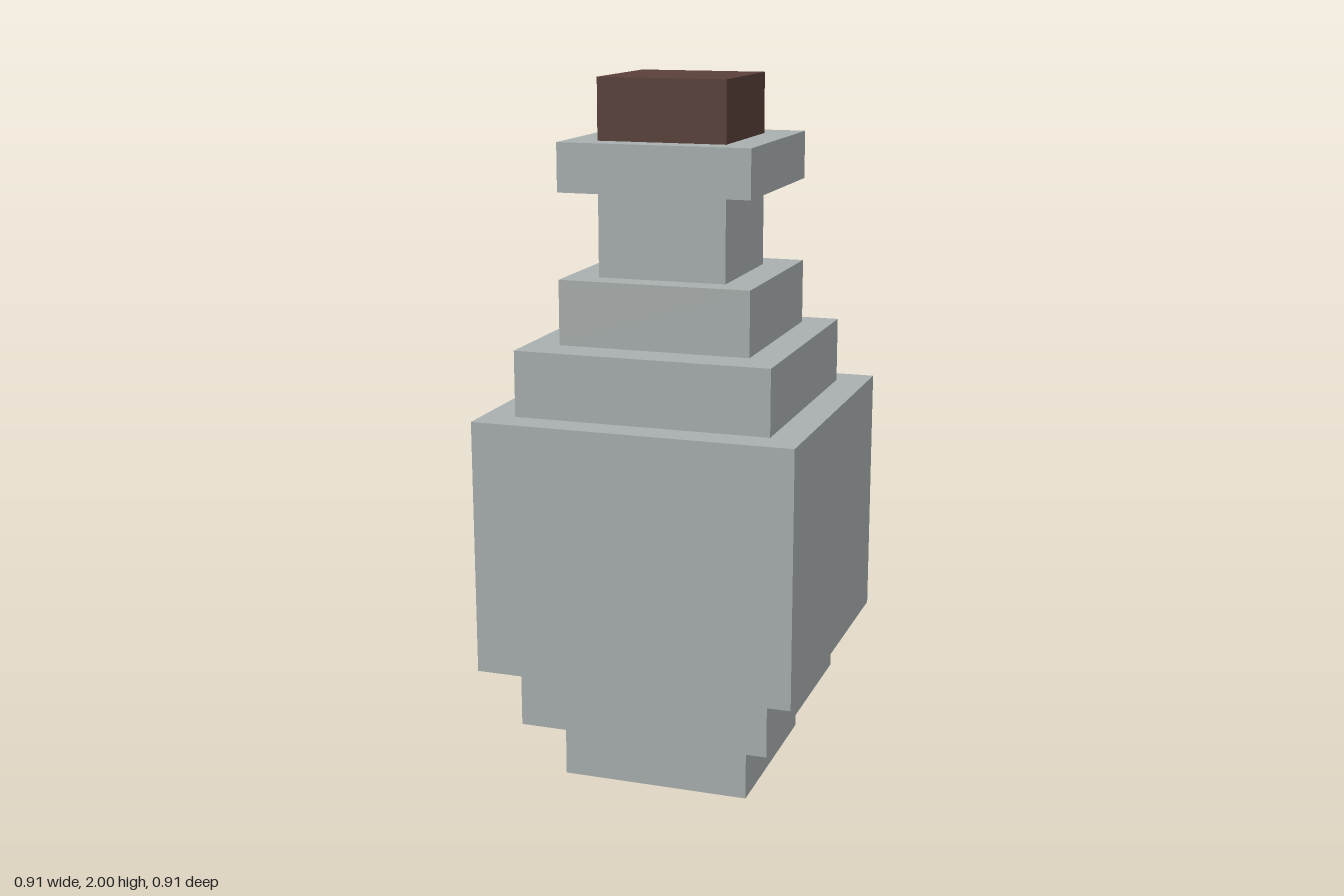
import * as THREE from 'three';

export function createModel() {
  const glass = new THREE.MeshStandardMaterial({ color: 0xa9b0af });
  glass.name = 'grey glass';
  const cork = new THREE.MeshStandardMaterial({ color: 0x5a4039 });
  cork.name = 'brown cork';

  const bottle = new THREE.Group();
  bottle.name = 'bottle';

  // Stacked blocks: name, width, depth, bottom, top, z offset, material
  const blocks = [
    ['base', 0.545, 0.545, 0, 0.185, -0.018, glass],
    ['lowerBody', 0.725, 0.725, 0.185, 0.37, 0, glass],
    ['body', 0.907, 0.907, 0.37, 1.09, 0, glass],
    ['lowerShoulder', 0.725, 0.725, 1.09, 1.275, 0, glass],
    ['upperShoulder', 0.545, 0.545, 1.275, 1.457, -0.018, glass],
    ['neck', 0.364, 0.364, 1.457, 1.695, 0, glass],
    ['lip', 0.545, 0.545, 1.695, 1.83, -0.018, glass],
    ['stopper', 0.364, 0.364, 1.83, 2, 0, cork],
  ];
  for (const [name, width, depth, bottom, top, z, material] of blocks) {
    const mesh = new THREE.Mesh(new THREE.BoxGeometry(width, top - bottom, depth), material);
    mesh.name = name;
    mesh.position.set(0, (bottom + top) / 2, z);
    bottle.add(mesh);
  }
  return bottle;
}
